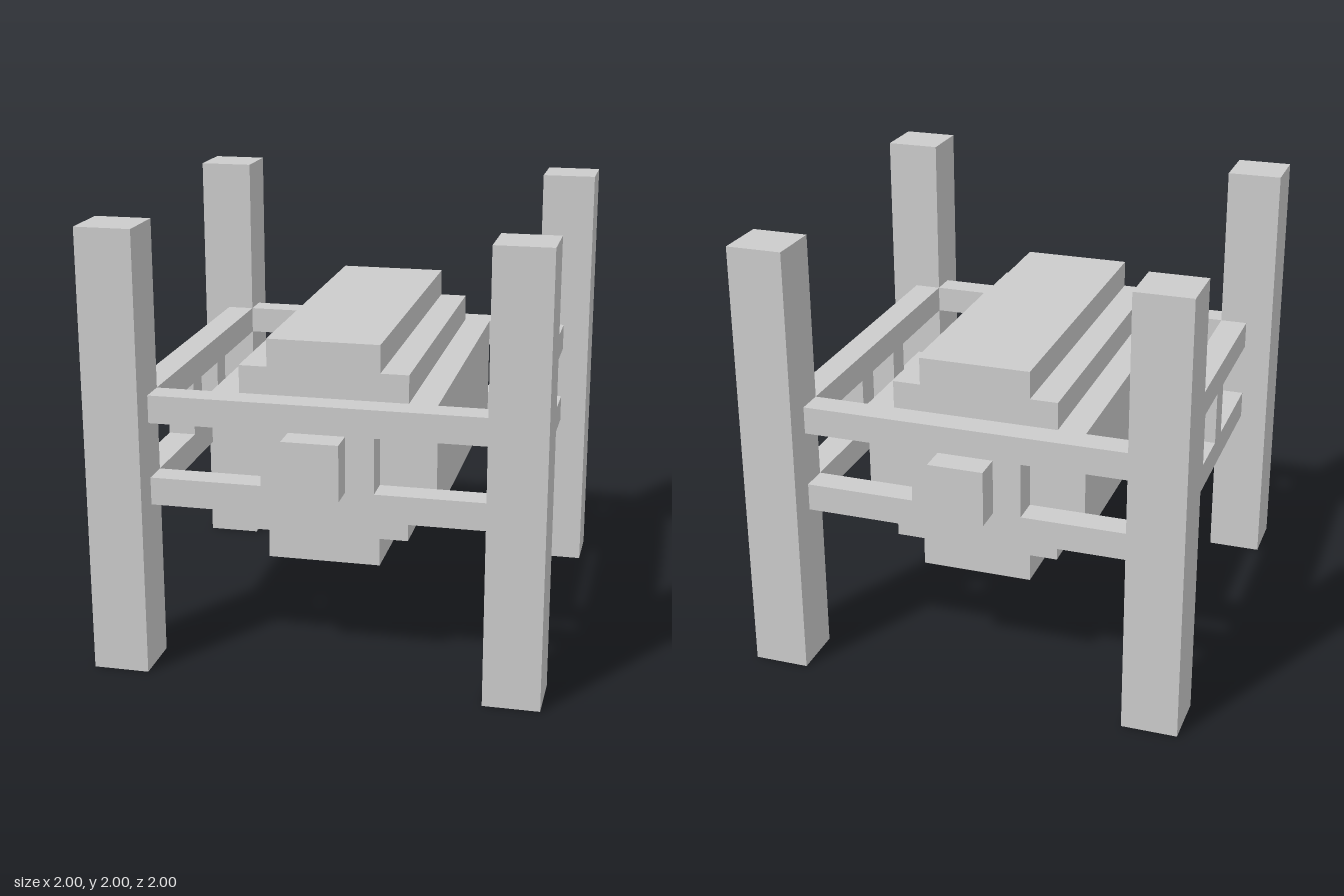
import * as THREE from 'three';

const material = new THREE.MeshStandardMaterial({ color: 0xcccccc, flatShading: true });

function addMesh(parent, name, geometry, x = 0, y = 0, z = 0) {
  const mesh = new THREE.Mesh(geometry, material);
  mesh.name = name;
  mesh.position.set(x, y, z);
  parent.add(mesh);
  return mesh;
}

function rectPoints(x0, x1, y0, y1) {
  return [[x0, y0], [x1, y0], [x1, y1], [x0, y1]].map(([x, y]) => new THREE.Vector2(x, y));
}

const extrude = (shape, depth) => new THREE.ExtrudeGeometry(shape, { depth, bevelEnabled: false });

// Rail panel with windows, given as [start, end] pairs along its length
function railPanel(windows) {
  const shape = new THREE.Shape(rectPoints(-0.75, 0.75, 0.75, 1.25));
  for (const [a, b] of windows) {
    // windows reaching the posts are open-ended, so build those as holes only when enclosed
    shape.holes.push(new THREE.Path(rectPoints(a, b, 0.875, 1.125).reverse()));
  }
  return extrude(shape, 0.125);
}

// Upper and lower rails joined by uprights, outline drawn so the outer ends stay open
function openRails(middleWindow) {
  const outline = [
    [-0.75, 0.75], [0.75, 0.75], [0.75, 0.875], [0.25, 0.875], [0.25, 1.125], [0.75, 1.125],
    [0.75, 1.25], [-0.75, 1.25], [-0.75, 1.125], [-0.25, 1.125], [-0.25, 0.875], [-0.75, 0.875],
  ];
  const shape = new THREE.Shape(outline.map(([x, y]) => new THREE.Vector2(x, y)));
  if (middleWindow) shape.holes.push(new THREE.Path(rectPoints(-0.125, 0.125, 0.875, 1.125).reverse()));
  return extrude(shape, 0.125);
}

export function createModel() {
  const model = new THREE.Group();
  model.name = 'postFrame';

  // Four corner posts
  for (const x of [-0.875, 0.875]) {
    for (const z of [-0.875, 0.875]) {
      addMesh(model, 'cornerPost', new THREE.BoxGeometry(0.25, 2, 0.25), x, 1, z);
    }
  }

  // Stepped central body, running front to back
  const half = [
    [0.25, 0.5], [0.25, 0.625], [0.375, 0.625], [0.375, 0.75], [0.5, 0.75],
    [0.5, 1.25], [0.375, 1.25], [0.375, 1.375], [0.25, 1.375], [0.25, 1.5],
  ];
  const profile = [...half, ...half.map(([x, y]) => [-x, y]).reverse()];
  const bodyShape = new THREE.Shape(profile.map(([x, y]) => new THREE.Vector2(x, y)));
  addMesh(model, 'steppedBody', extrude(bodyShape, 1.5), 0, 0, -0.75);

  // Front, left, back and right rails; front and back carry a projecting block
  ['front', 'left', 'back', 'right'].forEach((side, i) => {
    const group = new THREE.Group();
    group.name = side + 'Rails';
    group.rotation.y = (i * Math.PI) / 2;
    const isSide = i % 2 === 1;
    addMesh(group, 'railFrame', openRails(isSide), 0, 0, 0.75);
    if (!isSide) addMesh(group, 'projectingBlock', new THREE.BoxGeometry(0.25, 0.25, 0.125), 0, 1, 0.9375);
    model.add(group);
  });

  return model;
}
